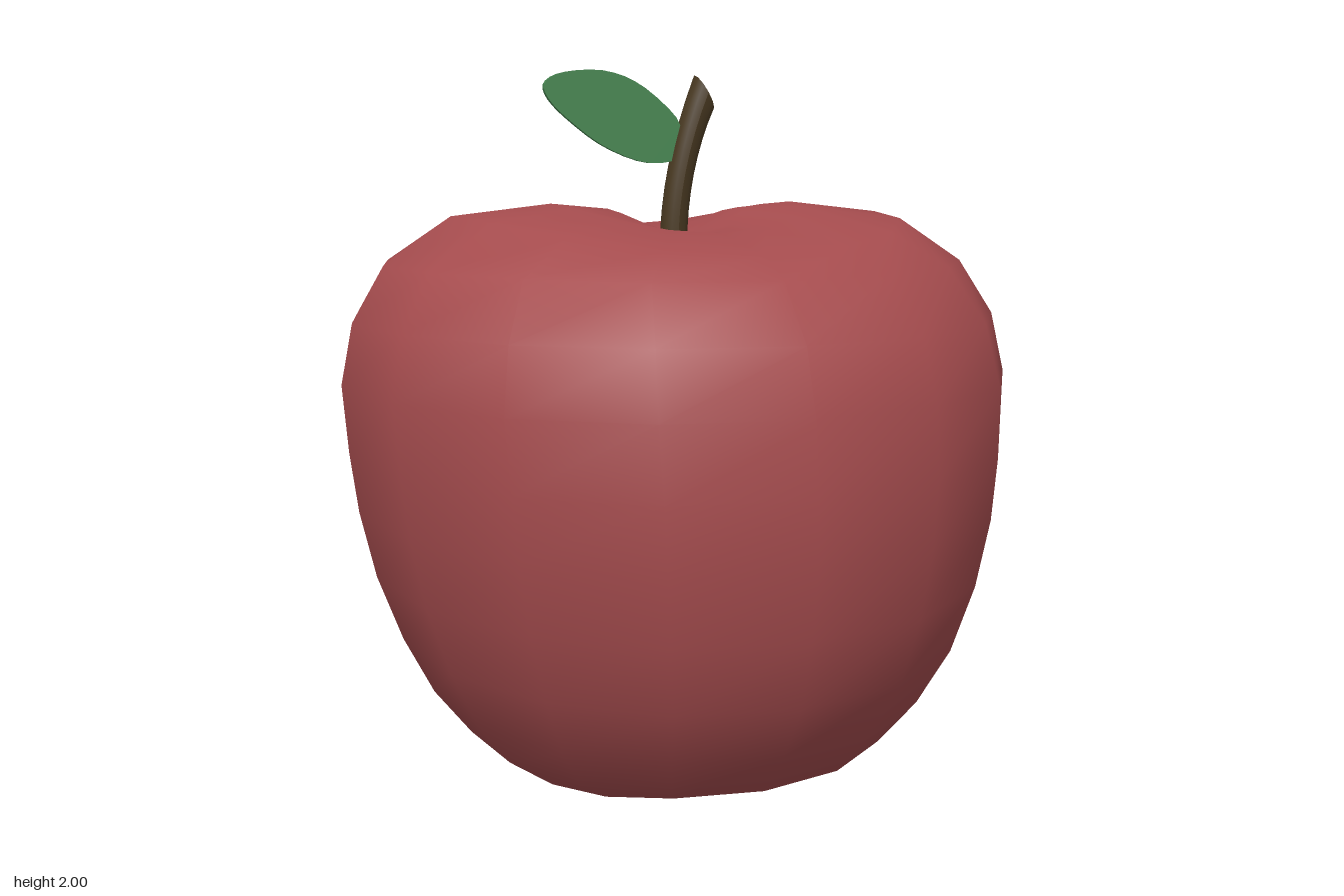
import * as THREE from 'three';

const SIDES = 16;

// Fruit rings from bottom to top: [x radius, z radius, y on the x axis, y on the z axis]
const RINGS = [
  [0.06, 0.06, 0.05, 0.06],
  [0.16, 0.16, 0.0, 0.05],
  [0.33, 0.37, 0.03, 0.09],
  [0.46, 0.51, 0.09, 0.14],
  [0.6, 0.65, 0.2, 0.2],
  [0.7, 0.76, 0.33, 0.33],
  [0.78, 0.86, 0.49, 0.49],
  [0.845, 0.91, 0.67, 0.67],
  [0.885, 0.935, 0.85, 0.85],
  [0.905, 0.935, 1.01, 1.01],
  [0.918, 0.91, 1.19, 1.19],
  [0.885, 0.855, 1.35, 1.35],
  [0.8, 0.73, 1.495, 1.485],
  [0.62, 0.62, 1.62, 1.54],
  [0.35, 0.35, 1.65, 1.58],
  [0.19, 0.19, 1.635, 1.568],
  [0.08, 0.08, 1.57, 1.555],
];

function fruitGeometry() {
  const pos = [];
  const index = [];
  for (const [rx, rz, yx, yz] of RINGS) {
    for (let i = 0; i < SIDES; i++) {
      const a = (i / SIDES) * Math.PI * 2;
      const c = Math.cos(a);
      const s = Math.sin(a);
      pos.push(rx * c, yx * c * c + yz * s * s, rz * s);
    }
  }
  const bottom = pos.length / 3;
  const top = bottom + 1;
  pos.push(0, 0.08, 0, 0, 1.55, 0);
  const last = (RINGS.length - 1) * SIDES;
  for (let i = 0; i < SIDES; i++) {
    const n = (i + 1) % SIDES;
    for (let r = 0; r < last; r += SIDES) {
      const a = r + i, b = r + n;
      index.push(a, a + SIDES, b, b, a + SIDES, b + SIDES);
    }
    index.push(bottom, i, n, top, last + n, last + i);
  }
  const g = new THREE.BufferGeometry();
  g.setAttribute('position', new THREE.Float32BufferAttribute(pos, 3));
  g.setIndex(index);
  g.computeVertexNormals();
  return g;
}

// Cylinder leaning towards +x as it rises, ending in a slanted cut
function stemGeometry() {
  const g = new THREE.CylinderGeometry(0.038, 0.038, 1, 12, 8);
  const p = g.attributes.position;
  for (let i = 0; i < p.count; i++) {
    const t = p.getY(i) + 0.5;
    const x = p.getX(i);
    p.setXY(i, x * (1 - 0.28 * t * t) + 0.088 * t * t, 1.53 + 0.415 * t - 1.2 * x * t * t);
  }
  g.computeVertexNormals();
  return g;
}

// Thin upright blade
function leafGeometry() {
  const outline = [
    [0.02, 1.765], [-0.08, 1.757], [-0.2, 1.8], [-0.3, 1.87], [-0.355, 1.925],
    [-0.362, 1.965], [-0.31, 1.992], [-0.2, 1.998], [-0.1, 1.965], [0, 1.885], [0.025, 1.83],
  ].map(([x, y]) => new THREE.Vector2(x, y));
  const shape = new THREE.Shape();
  shape.moveTo(outline[0].x, outline[0].y);
  shape.splineThru(outline.slice(1));
  const g = new THREE.ExtrudeGeometry(shape, { depth: 0.016, bevelEnabled: false, curveSegments: 3 });
  return g.translate(0, 0, -0.008);
}

export function createModel() {
  const model = new THREE.Group();
  const add = (name, geometry, color) => {
    const mesh = new THREE.Mesh(geometry, new THREE.MeshStandardMaterial({ color }));
    mesh.name = name;
    model.add(mesh);
  };
  add('fruit', fruitGeometry(), 0xa54c4e);
  add('stem', stemGeometry(), 0x4a3a22);
  add('leaf', leafGeometry(), 0x4b8a55);
  return model;
}
